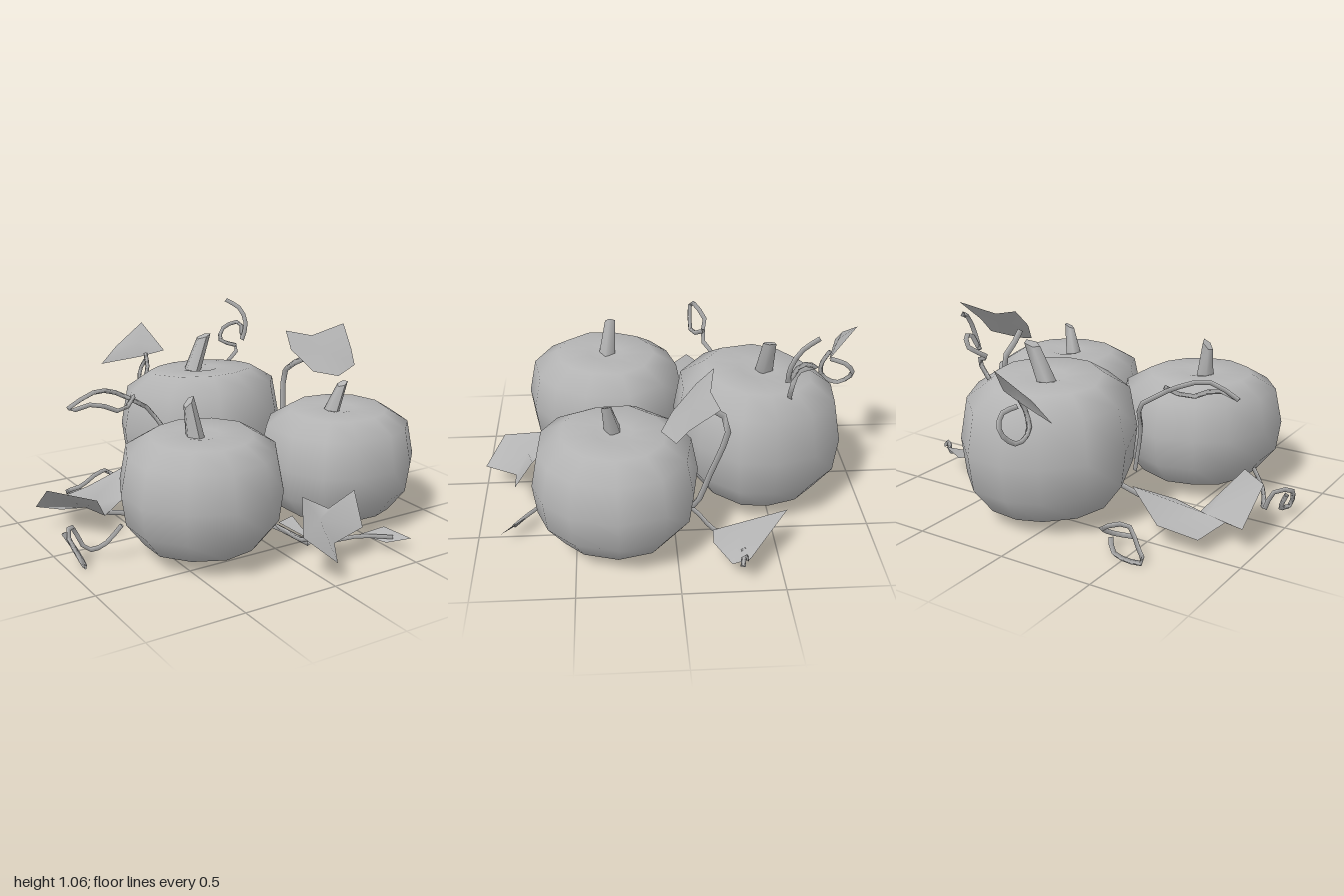
import * as THREE from 'three';
import { mergeVertices } from 'three/addons/utils/BufferGeometryUtils.js';

const clay = new THREE.MeshStandardMaterial({ color: 0xb4b4b4, side: THREE.DoubleSide });
clay.name = 'clay grey';

const V = (p) => new THREE.Vector3(...p);

function addMesh(parent, name, geometry) {
  const mesh = new THREE.Mesh(geometry, clay);
  mesh.name = name;
  parent.add(mesh);
  return mesh;
}

// Squat fruit: its plan outline scaled through a stack of rows, [scale, height]
const rows = [[0, 0.05], [0.4, 0], [0.72, 0.075], [0.94, 0.28], [0.99, 0.55], [0.905, 0.86], [0.62, 0.985], [0.22, 0.985], [0, 0.95]];

function pumpkinGeometry({ centre: [cx, cz], outline, y: [bottom, top], tilt }) {
  const position = [], index = [], n = outline.length;
  rows.forEach(([s, h], j) => outline.forEach(([ox, oz], i) => {
    const dx = (ox - cx) * s, dz = (oz - cz) * s;
    position.push(cx + dx, bottom + h * (top - bottom) + tilt * dz, cz + dz);
    if (j === rows.length - 1) return;
    const a = j * n + i, b = j * n + ((i + 1) % n);
    if (j < rows.length - 2) index.push(a, a + n, b + n);
    if (j > 0) index.push(a, b + n, b);
    else index.push(a, a + n, b + n);
    if (j === rows.length - 2) index.push(a, a + n, b);
  }));
  const g = new THREE.BufferGeometry();
  g.setAttribute('position', new THREE.Float32BufferAttribute(position, 3));
  g.setIndex(index);
  const merged = mergeVertices(g, 1e-4);
  merged.computeVertexNormals();
  return merged;
}

// Stalk between two points, cut at a slant
function stalkGeometry(from, to, r0, r1) {
  const a = V(from), b = V(to), d = b.clone().sub(a);
  const g = new THREE.CylinderGeometry(r1, r0, d.length(), 5);
  const p = g.attributes.position;
  for (let i = 0; i < p.count; i++) {
    if (p.getY(i) > 0) p.setY(i, p.getY(i) + p.getX(i) * 0.8);
  }
  g.applyQuaternion(new THREE.Quaternion().setFromUnitVectors(new THREE.Vector3(0, 1, 0), d.normalize()));
  g.translate(...a.add(b).multiplyScalar(0.5).toArray());
  g.computeVertexNormals();
  return g;
}

// Creased leaf: a fan from a centre point to its outline
function leafGeometry(centre, rim) {
  const g = new THREE.BufferGeometry();
  g.setAttribute('position', new THREE.Float32BufferAttribute([centre, ...rim].flat(), 3));
  const index = [];
  rim.forEach((_, i) => index.push(0, 1 + ((i + 1) % rim.length), 1 + i));
  g.setIndex(index);
  g.computeVertexNormals();
  return g;
}

// Thin three-sided stem following a path
function vineGeometry(path, radius) {
  const curve = new THREE.CatmullRomCurve3(path.map(V), false, 'centripetal');
  return new THREE.TubeGeometry(curve, path.length * 2, radius, 3);
}

export function createModel() {
  const model = new THREE.Group();
  model.name = 'pumpkinPatch';

  // Three pumpkins, the back one larger and leaning backwards
  const fruits = {
    frontRightPumpkin: {
      centre: [-0.33, 0.33], y: [0.055, 0.645], tilt: 0,
      outline: [[-0.75, 0.49], [-0.75, 0.27], [-0.65, 0.05], [-0.5, -0.05], [-0.3, -0.1], [-0.04, 0.0],
        [0.1, 0.2], [0.07, 0.45], [-0.04, 0.63], [-0.18, 0.73], [-0.4, 0.77], [-0.61, 0.67]],
    },
    frontLeftPumpkin: {
      centre: [0.53, 0.3], y: [0.055, 0.64], tilt: 0,
      outline: [[0.11, 0.17], [0.27, -0.02], [0.48, -0.12], [0.72, -0.08], [0.89, 0.06], [0.95, 0.29],
        [0.88, 0.52], [0.75, 0.65], [0.59, 0.71], [0.36, 0.7], [0.21, 0.61], [0.12, 0.42]],
    },
    backPumpkin: {
      centre: [0.12, -0.45], y: [0.06, 0.75], tilt: 0.08,
      outline: [[-0.36, -0.47], [-0.28, -0.68], [-0.1, -0.83], [0.08, -0.89], [0.3, -0.87], [0.48, -0.71],
        [0.57, -0.5], [0.57, -0.31], [0.43, -0.12], [0.22, -0.02], [0, -0.02], [-0.25, -0.18]],
    },
  };
  for (const [name, fruit] of Object.entries(fruits)) addMesh(model, name, pumpkinGeometry(fruit));

  // Stalks
  const stalks = [
    [[-0.36, 0.6, 0.32], [-0.385, 0.8, 0.3], 0.05, 0.03],
    [[0.48, 0.6, 0.3], [0.53, 0.77, 0.33], 0.045, 0.025],
    [[0.08, 0.7, -0.49], [0.17, 0.91, -0.5], 0.05, 0.035],
  ];
  stalks.forEach((s, i) => addMesh(model, `stalk${i + 1}`, stalkGeometry(...s)));

  // Leaves: centre, then outline
  const leaves = {
    frontLeaf: [[0.08, 0.25, 0.76], [[-0.12, 0.25, 0.9], [0.01, 0.13, 1.0], [0.12, 0.14, 0.83],
      [0.3, 0.18, 0.82], [0.32, 0.34, 0.72], [0.17, 0.27, 0.71], [0.03, 0.35, 0.68]]],
    sideLeaf: [[-0.7, 0.12, -0.27], [[-0.78, 0.1, -0.51], [-0.57, 0.13, -0.53], [-0.37, 0.25, -0.43],
      [-0.5, 0.14, -0.23], [-0.62, 0.08, -0.2], [-0.76, 0.27, 0.02], [-0.95, 0.3, -0.17],
      [-0.94, 0.14, -0.37], [-0.82, 0.12, -0.31]]],
    farSideLeaf: [[0.75, 0.15, -0.3], [[0.64, 0.22, -0.55], [0.93, 0.15, -0.33], [0.9, 0.1, -0.25],
      [0.78, 0.14, -0.17], [0.65, 0.12, -0.18]]],
    raisedLeaf: [[0.7, 0.85, -0.06], [[0.52, 0.96, -0.18], [0.68, 0.92, -0.15], [0.92, 0.96, -0.17],
      [0.88, 0.84, -0.04], [0.86, 0.76, 0.02], [0.7, 0.73, 0.08], [0.57, 0.76, 0.02], [0.5, 0.87, -0.1]]],
    backLeaf: [[-0.04, 0.82, -0.9], [[-0.27, 0.71, -0.94], [-0.17, 0.8, -0.95], [0.02, 0.92, -0.98],
      [0.09, 0.77, -0.83], [-0.05, 0.74, -0.87]]],
    smallLeaf: [[0.48, 0.08, 0.79], [[0.36, 0.09, 0.72], [0.49, 0.12, 0.76], [0.57, 0.08, 0.88],
      [0.46, 0.06, 0.82]]],
    bladeLeaf: [[0.12, 0.1, 0.5], [[0.1, 0.1, 0.68], [0.16, 0.13, 0.42], [0.13, 0.07, 0.34]]],
  };
  for (const [name, [centre, rim]] of Object.entries(leaves)) {
    addMesh(model, name, leafGeometry(centre, rim));
  }

  // Trailing vines: path and thickness
  const vines = [
    [[[0.14, 0.05, 0.6], [0.14, 0.04, 0.35], [0.15, 0.03, 0.08], [0.3, 0.05, -0.03], [0.43, 0.12, -0.1],
      [0.5, 0.35, -0.17], [0.56, 0.69, -0.25], [0.55, 0.75, -0.19], [0.58, 0.82, -0.07]], 0.018],
    [[[0.15, 0.03, 0.08], [-0.1, 0.04, -0.05], [-0.35, 0.05, -0.15], [-0.62, 0.09, -0.23]], 0.016],
    [[[0.15, 0.03, 0.08], [0.35, 0.05, -0.1], [0.6, 0.08, -0.2], [0.75, 0.13, -0.3]], 0.014],
    [[[0.14, 0.04, 0.35], [0.12, 0.07, 0.6], [0.1, 0.2, 0.72]], 0.014],
    [[[0.12, 0.03, 0.25], [0.2, 0.04, 0.6], [0.36, 0.08, 0.72], [0.5, 0.08, 0.82]], 0.012],
  ];
  vines.forEach((v, i) => addMesh(model, `vine${i + 1}`, vineGeometry(...v)));

  // Curling tendrils
  const tendrils = [
    [[-0.15, 0.15, -0.04], [-0.22, 0.4, -0.1], [-0.32, 0.62, -0.26], [-0.4, 0.67, -0.21], [-0.5, 0.73, -0.24],
      [-0.65, 0.77, -0.19], [-0.83, 0.69, -0.18], [-0.68, 0.72, -0.16], [-0.52, 0.66, -0.16], [-0.42, 0.71, -0.22]],
    [[-0.46, 0.05, -0.55], [-0.36, 0.06, -0.59], [-0.36, 0.13, -0.69], [-0.47, 0.15, -0.63],
      [-0.55, 0.08, -0.67], [-0.62, 0.04, -0.74], [-0.45, 0.03, -0.72], [-0.38, 0.06, -0.64]],
    [[-0.72, 0.2, 0.22], [-0.8, 0.1, 0.18], [-0.85, 0.05, 0.07], [-0.91, 0.17, 0.05], [-0.97, 0.17, 0.12],
      [-0.93, 0.03, 0.23], [-0.92, 0.06, 0.12], [-0.97, 0.16, 0.07]],
    [[0.37, 0.7, -0.58], [0.45, 0.8, -0.57], [0.36, 0.84, -0.62], [0.42, 0.9, -0.69], [0.48, 0.94, -0.6],
      [0.46, 0.84, -0.55], [0.49, 0.94, -0.55], [0.48, 1.02, -0.6], [0.44, 1.06, -0.69]],
    [[-0.02, 0.76, -0.86], [-0.03, 0.68, -0.82], [-0.05, 0.6, -0.83], [-0.04, 0.56, -0.91], [0, 0.63, -0.98],
      [0.02, 0.7, -0.94], [-0.01, 0.72, -0.86]],
    [[0.84, 0.14, -0.31], [0.91, 0.13, -0.32], [0.93, 0.17, -0.3], [0.97, 0.14, -0.29]],
  ];
  tendrils.forEach((t, i) => addMesh(model, `tendril${i + 1}`, vineGeometry(t, 0.014)));

  return model;
}
